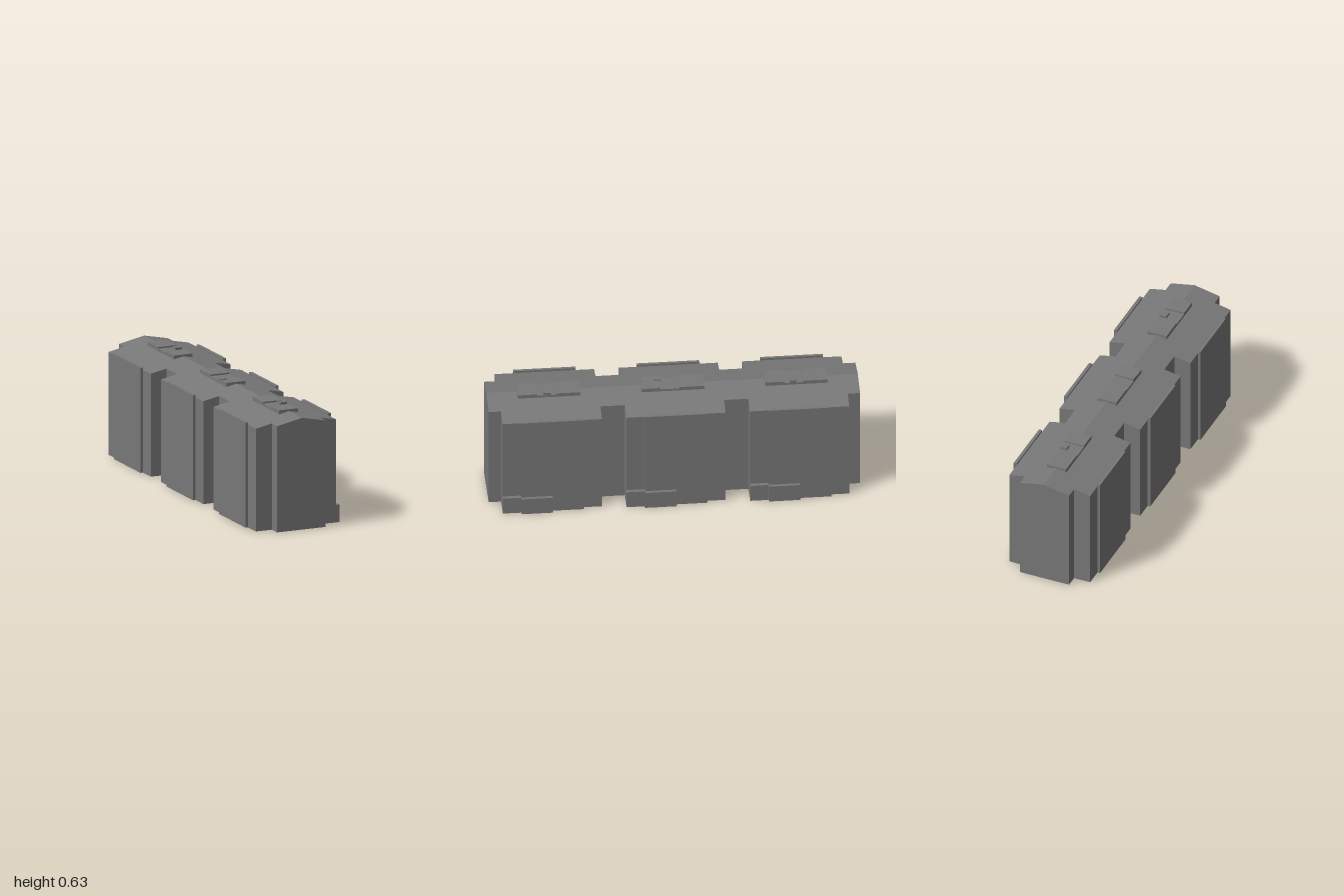
import * as THREE from 'three';

const RIDGE = 0.612, SLOPE = 0.205;
// Left and right wall positions of the three widths, measured from the ridge
const SPINE = [-0.146, 0.139], WING = [-0.239, 0.23], PANEL = [-0.254, 0.248];
const END = 0.991;
const CENTRES = [-0.66, 0, 0.66];
const HALF = 0.265;       // half length of a wide bay
const PANEL_HALF = 0.167; // half length of its facade panels

const roofY = x => RIDGE - SLOPE * Math.abs(x);

function quadMesh(name, quads, material) {
  const pos = [];
  for (const [a, b, c, d] of quads) pos.push(...a, ...b, ...c, ...a, ...c, ...d);
  const geo = new THREE.BufferGeometry();
  geo.setAttribute('position', new THREE.Float32BufferAttribute(pos, 3));
  geo.computeVertexNormals();
  const mesh = new THREE.Mesh(geo, material);
  mesh.name = name;
  return mesh;
}

export function createModel() {
  const model = new THREE.Group();
  model.name = 'longBuilding';
  const material = new THREE.MeshStandardMaterial({
    color: 0x787878, flatShading: true, side: THREE.DoubleSide,
  });

  // Box given by its limits on each axis
  const addBox = (parent, name, x0, x1, y0, y1, z0, z1) => {
    const mesh = new THREE.Mesh(new THREE.BoxGeometry(x1 - x0, y1 - y0, z1 - z0), material);
    mesh.position.set((x0 + x1) / 2, (y0 + y1) / 2, (z0 + z1) / 2);
    mesh.name = name;
    parent.add(mesh);
  };

  // Sections along the length: narrow spine alternating with wide, panelled bays
  const sections = [];
  let z = -END;
  for (const c of CENTRES) {
    sections.push(
      [z, c - HALF, SPINE],
      [c - HALF, c - PANEL_HALF, WING],
      [c - PANEL_HALF, c + PANEL_HALF, PANEL],
      [c + PANEL_HALF, c + HALF, WING],
    );
    z = c + HALF;
  }
  sections.push([z, END, SPINE]);

  // Plan outline: back to front on one side, front to back on the other
  const side = k => sections.flatMap(([z0, z1, w]) => [[w[k], z0], [w[k], z1]]);
  const outline = [[0, -END], ...side(1), [0, END], ...side(0).reverse()];

  // Outer walls, open at the bottom and following the roof slope at the top
  const walls = outline.map(([x0, z0], i) => {
    const [x1, z1] = outline[(i + 1) % outline.length];
    return [[x0, 0, z0], [x0, roofY(x0), z0], [x1, roofY(x1), z1], [x1, 0, z1]];
  });
  model.add(quadMesh('walls', walls, material));

  // Shallow gabled roof
  const roof = [];
  for (const [z0, z1, [l, r]] of sections) {
    roof.push([[0, RIDGE, z0], [0, RIDGE, z1], [r, roofY(r), z1], [r, roofY(r), z0]]);
    roof.push([[l, roofY(l), z0], [l, roofY(l), z1], [0, RIDGE, z1], [0, RIDGE, z0]]);
  }
  model.add(quadMesh('roof', roof, material));

  // Small roof hatch of each bay: x range and z range relative to the bay
  const hatches = [[0.014, 0.052, 0, 0.035], [-0.057, -0.02, 0.06, 0.095], [0.014, 0.052, -0.01, 0.03]];

  CENTRES.forEach((c, i) => {
    const bay = new THREE.Group();
    bay.name = 'bay' + (i + 1);
    bay.position.z = c;

    // Facade panel tops, rising just above the eaves
    addBox(bay, 'leftParapet', WING[1], PANEL[1], roofY(PANEL[1]), 0.575, -PANEL_HALF, PANEL_HALF);
    addBox(bay, 'rightParapet', PANEL[0], WING[0], roofY(PANEL[0]), 0.575, -PANEL_HALF, PANEL_HALF);

    // Low entrance plinth, stepped where the panel ends
    addBox(bay, 'plinthOuter', PANEL[1], 0.266, 0, 0.096, 0, PANEL_HALF);
    addBox(bay, 'plinthInner', WING[1], 0.251, 0, 0.096, PANEL_HALF, HALF);

    // Flat rooftop units joined by a lower slab
    addBox(bay, 'roofUnitBack', -0.057, 0.053, 0.595, 0.622, -PANEL_HALF, -0.034);
    addBox(bay, 'roofSlab', -0.057, 0.053, 0.595, 0.6135, -0.034, 0.066);
    addBox(bay, 'roofUnitFront', -0.057, 0.053, 0.595, 0.622, 0.066, PANEL_HALF);
    const [x0, x1, z0, z1] = hatches[i];
    addBox(bay, 'roofHatch', x0, x1, 0.595, 0.627, z0, z1);
    model.add(bay);
  });

  // The whole block stands slightly turned
  model.rotation.y = 0.111;
  model.position.x = -0.006;
  const group = new THREE.Group();
  group.name = 'building';
  group.add(model);
  return group;
}
